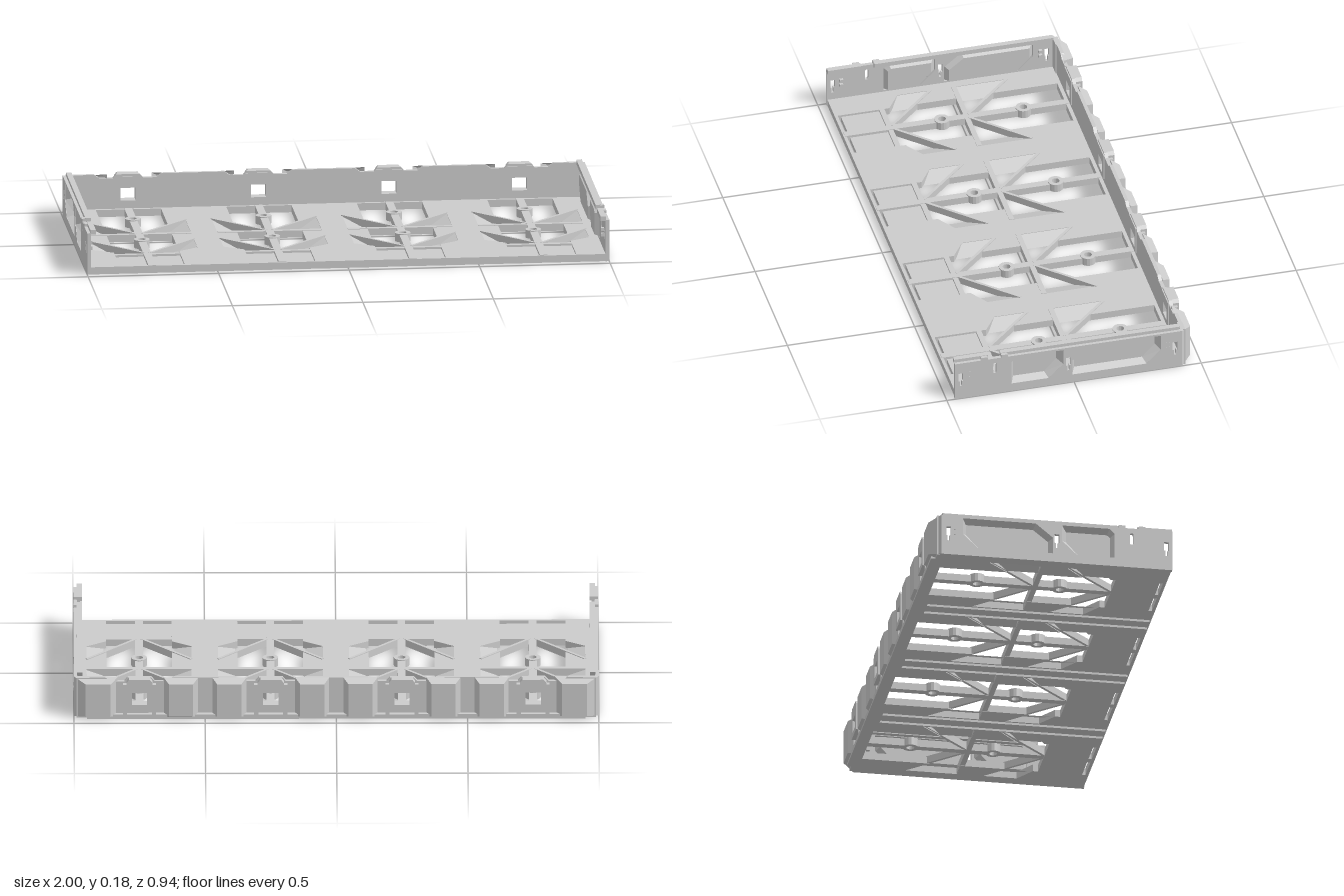
import * as THREE from 'three';

const mat = new THREE.MeshStandardMaterial({ color: 0xcccccc, flatShading: true, side: THREE.DoubleSide });
const BAYS = [-0.75, -0.25, 0.25, 0.75];
const V = (pts) => pts.map(([a, b]) => new THREE.Vector2(a, b));
const rectPts = (a0, b0, a1, b1) => [[a0, b0], [a1, b0], [a1, b1], [a0, b1]];

function shapeOf(pts, holes = []) {
  const s = new THREE.Shape(V(pts));
  for (const h of holes) s.holes.push(new THREE.Path(V(h)));
  return s;
}
const extrude = (shape, depth) =>
  new THREE.ExtrudeGeometry(shape, { depth, bevelEnabled: false, curveSegments: 8 });

export function createModel() {
  const root = new THREE.Group();
  root.name = 'tray';
  const add = (geo, name, parent = root) => {
    const m = new THREE.Mesh(geo, mat);
    m.name = name;
    parent.add(m);
    return m;
  };
  const box = (name, x0, x1, y0, y1, z0, z1, parent) => {
    const m = add(new THREE.BoxGeometry(x1 - x0, y1 - y0, z1 - z0), name, parent);
    m.position.set((x0 + x1) / 2, (y0 + y1) / 2, (z0 + z1) / 2);
    return m;
  };
  // horizontal plate from (x, z) outlines
  const plate = (name, pts, holes, y0, y1, parent) => {
    const flip = (p) => p.map(([x, z]) => [x, -z]);
    const g = extrude(shapeOf(flip(pts), holes.map(flip)), y1 - y0);
    g.rotateX(-Math.PI / 2).translate(0, y0, 0);
    return add(g, name, parent);
  };
  // upright plate from (z, y) outlines, spanning x0..x1
  const sidePlate = (name, pts, holes, x0, x1, parent) => {
    const g = extrude(shapeOf(pts, holes), x1 - x0);
    g.rotateY(-Math.PI / 2).translate(x1, 0, 0);
    return add(g, name, parent);
  };
  // skin between two matching rings of 3D points, with the second ring capped
  const recess = (name, ringA, ringB, parent) => {
    const n = ringA.length, idx = [];
    for (let i = 0; i < n; i++) {
      const j = (i + 1) % n;
      idx.push(i, j, n + j, i, n + j, n + i);
      if (i > 1) idx.push(n, n + i - 1, n + i);
    }
    let g = new THREE.BufferGeometry();
    g.setAttribute('position', new THREE.Float32BufferAttribute([...ringA, ...ringB].flat(), 3));
    g.setIndex(idx);
    g = g.toNonIndexed();
    g.computeVertexNormals();
    return add(g, name, parent);
  };

  // Floor: two layers, the lower one carrying drainage grooves
  const halfWindow = [[0.125, -0.41], [0.125, -0.15], [0.2, -0.23], [0.2, -0.03], [0.125, -0.03],
    [0.125, 0.14], [0.2, 0.07], [0.2, 0.2], [0.125, 0.25], [0.125, 0.27]];
  const windows = BAYS.flatMap((c) => [
    [...halfWindow.map(([x, z]) => [c + x, z]), ...halfWindow.map(([x, z]) => [c - x, z]).reverse()],
    rectPts(c - 0.125, 0.29, c + 0.125, 0.453),
  ]);
  const grooves = [-0.5, 0, 0.5].flatMap((b) =>
    [-1, 1].map((s) => rectPts(b + s * 0.033 - 0.009, -0.4, b + s * 0.033 + 0.009, 0.462)));
  const outline = rectPts(-0.99, -0.43, 0.99, 0.465);
  plate('floorLower', outline, [...windows, ...grooves], 0, 0.014);
  plate('floorUpper', outline, windows, 0.014, 0.028);

  // Bay lattice: spine, cross bars, diagonal ribs, bosses, ramps
  for (const c of BAYS) {
    const bay = new THREE.Group();
    bay.name = 'bay';
    root.add(bay);
    box('frontPanel', c - 0.125, c + 0.125, 0, 0.02, 0.29, 0.44, bay);
    for (const [z0, z1] of [[-0.42, -0.265], [-0.225, 0.055], [0.095, 0.46]])
      box('spine', c - 0.015, c + 0.015, 0.002, 0.03, z0, z1, bay);
    box('crossBar', c - 0.2, c + 0.2, 0.002, 0.03, -0.032, -0.012, bay);
    for (const z of [-0.245, 0.075]) {
      const s = new THREE.Shape().absarc(0, 0, 0.03, 0, Math.PI * 2);
      s.holes.push(new THREE.Path().absarc(0, 0, 0.015, 0, Math.PI * 2, true));
      add(extrude(s, 0.032).rotateX(-Math.PI / 2).translate(c, 0.002, z), 'boss', bay);
    }
    for (const s of [-1, 1]) {
      for (const [z0, z1] of [[-0.23, -0.03], [0.07, 0.27]]) {
        const dx = -0.19 * s, dz = z1 - z0;
        const rib = box('diagonalRib', 0, Math.hypot(dx, dz), 0, 0.028, 0, 0.011, bay);
        rib.position.set(c + s * 0.2 + dx / 2, 0.017, (z0 + z1) / 2);
        rib.rotation.y = Math.atan2(-dz, dx);
      }
      for (const [a, b, d, e] of [[-0.23, -0.03, -0.03, -0.17], [0.07, 0.2, 0.24, 0.12]]) {
        const X = c + s * 0.2, x = c + s * 0.135;
        const g = new THREE.BufferGeometry();
        g.setAttribute('position', new THREE.Float32BufferAttribute(
          [X, 0.026, a, X, 0.026, b, x, 0.002, d, X, 0.026, a, x, 0.002, d, x, 0.002, e], 3));
        g.computeVertexNormals();
        add(g, 'ramp', bay);
      }
    }
  }

  // Side walls with recessed panels, keyhole slots and a stepped lip
  const panels = [
    [[0.245, 0.035], [0.245, 0.135], [0.225, 0.155], [0.042, 0.155], [0.042, 0.09], [0.1, 0.035]],
    [[0.007, 0.035], [0.007, 0.1], [-0.06, 0.155], [-0.342, 0.155], [-0.342, 0.09], [-0.285, 0.035]],
  ];
  const inner = [
    [[0.232, 0.047], [0.232, 0.131], [0.22, 0.142], [0.062, 0.142], [0.062, 0.1], [0.11, 0.047]],
    [[-0.008, 0.047], [-0.008, 0.096], [-0.066, 0.142], [-0.325, 0.142], [-0.325, 0.1], [-0.275, 0.047]],
  ];
  const keyhole = (z) => [[z - 0.004, 0.058], [z + 0.004, 0.058], [z + 0.004, 0.08], [z + 0.009, 0.08],
    [z + 0.009, 0.116], [z - 0.009, 0.116], [z - 0.009, 0.08], [z - 0.004, 0.08]];
  const oval = Array.from({ length: 12 }, (_, i) => {
    const a = (i / 12) * Math.PI * 2;
    return [0.311 + 0.007 * Math.cos(a), 0.119 + Math.sign(Math.sin(a)) * 0.017 + 0.007 * Math.sin(a)];
  });
  const wallOutline = [[-0.425, 0], [0.468, 0], [0.468, 0.163], [-0.425, 0.163]];
  for (const s of [-1, 1]) {
    const side = new THREE.Group();
    side.name = s > 0 ? 'leftSide' : 'rightSide';
    root.add(side);
    const span = (a, b) => (s > 0 ? [a, b] : [-b, -a]);
    sidePlate('sideWall', wallOutline, [...panels, oval, ...[0.445, 0.022, -0.397].map(keyhole)],
      ...span(0.986, 1), side);
    panels.forEach((p, i) => recess('recessedPanel', p.map(([z, y]) => [s * 0.999, y, z]),
      inner[i].map(([z, y]) => [s * 0.968, y, z]), side));
    const [l0, l1] = span(0.967, 0.988);
    box('lip', l0, l1, 0.158, 0.176, 0.335, 0.468, side);
    sidePlate('lip', [[-0.412, 0.158], [0.285, 0.158], [0.285, 0.176], [-0.42, 0.176]], [], l0, l1, side);
    for (const z of [0.273, 0.352]) box('clip', ...span(0.975, 1), 0.15, 0.174, z - 0.013, z + 0.013, side);
    for (const z of [0.412, -0.37])
      for (const y of [0.085, 0.106]) box('cleat', ...span(0.974, 1.001), y, y + 0.013, z - 0.007, z + 0.007, side);
    // chamfered rear corner, bevelled towards the top and bottom
    const ring = (x, z, y0, y1) => [[s * x, y0, z], [s * x, y1, z]];
    const [a, b] = ring(1, -0.425, 0, 0.163), [d, e] = ring(0.955, -0.468, 0.014, 0.147);
    const [f, h] = ring(0.86, -0.468, 0.014, 0.147), [k, l] = ring(0.83, -0.425, 0, 0.163);
    recess('rearCorner', [a, b, l, k], [d, e, h, f], side);
    box('cornerPost', ...span(0.94, 0.99), 0, 0.163, -0.44, -0.42, side);
  }

  // Back wall with square latch windows and a castellated top
  const top = [[-0.99, 0.163]];
  for (const c of BAYS) {
    top.push([c - 0.13, 0.163], [c - 0.11, 0.148], [c - 0.058, 0.148], [c - 0.045, 0.163],
      [c + 0.045, 0.163], [c + 0.058, 0.148], [c + 0.11, 0.148], [c + 0.13, 0.163]);
  }
  top.push([0.99, 0.163]);
  const latch = (c) => rectPts(c - 0.029, 0.06, c + 0.029, 0.11);
  const back = extrude(shapeOf([[0.99, 0], [-0.99, 0], ...top], BAYS.map(latch)), 0.014);
  add(back.translate(0, 0, -0.438), 'backWall');
  box('backRail', -0.95, 0.95, 0, 0.018, -0.456, -0.43);

  for (const c of BAYS) {
    const frame = extrude(shapeOf([[c - 0.05, 0.04], [c + 0.05, 0.04], [c + 0.05, 0.15], [c + 0.04, 0.163],
      [c - 0.04, 0.163], [c - 0.05, 0.15]], [latch(c)]), 0.034);
    add(frame.translate(0, 0, -0.464), 'latchFrame');
    const trim = extrude(shapeOf(rectPts(c - 0.05, 0.045, c + 0.05, 0.155), [latch(c)]), 0.006);
    add(trim.translate(0, 0, -0.426), 'latchTrim');
    for (const s of [-1, 1]) box('latchWing', c + s * 0.055 - 0.008, c + s * 0.055 + 0.008, 0.01, 0.14, -0.456, -0.436);
  }
  // tapered bumpers on either side of each bay boundary
  for (const b of [-0.5, 0, 0.5])
    for (const s of [-1, 1]) {
      const x = b + s * 0.092;
      const ring = (w, y0, y1, z) => rectPts(x - w, y0, x + w, y1).map(([u, y]) => [u, y, z]);
      recess('bumper', ring(0.066, 0, 0.163, -0.436), ring(0.046, 0.014, 0.147, -0.468));
    }
  return root;
}
